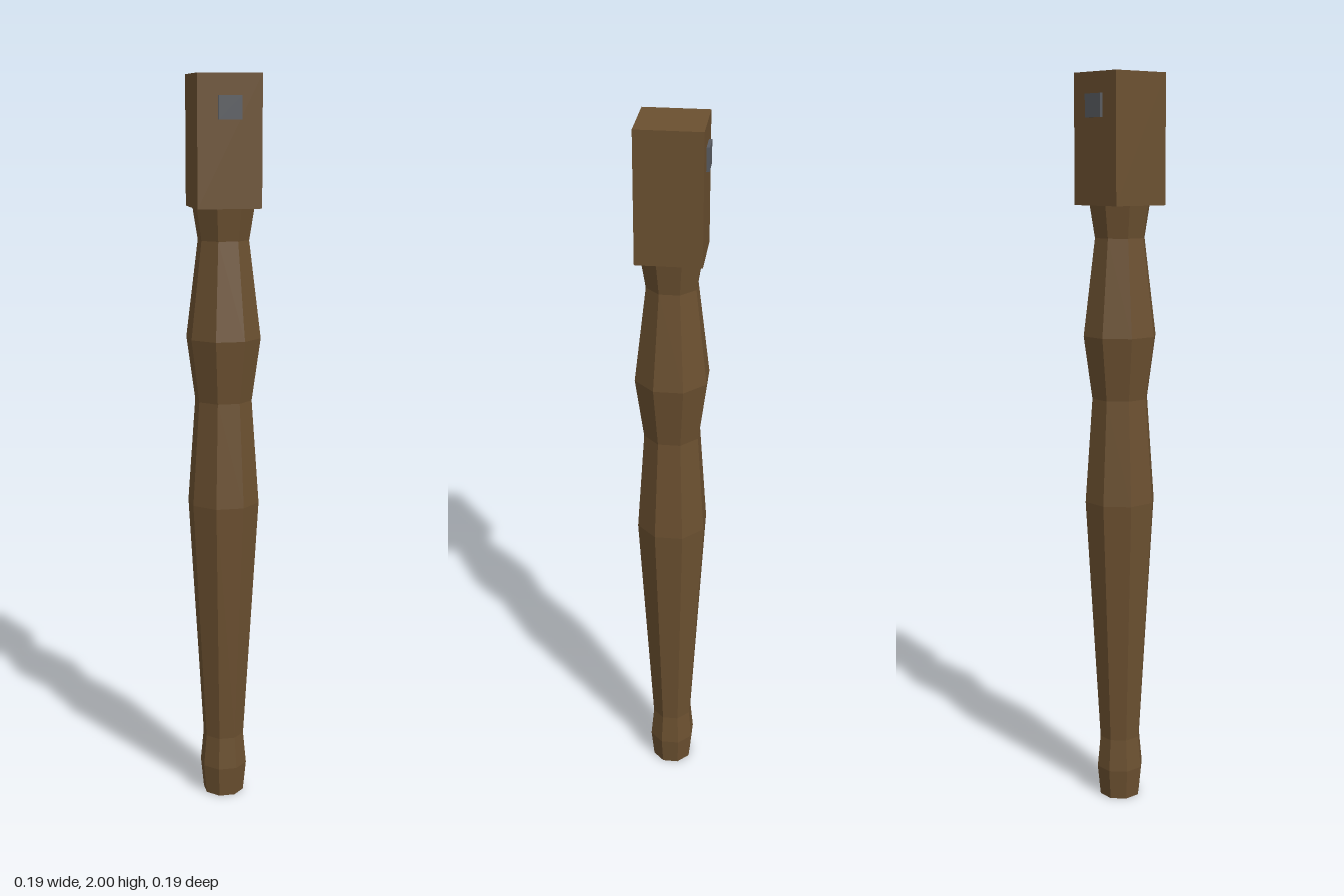
import * as THREE from 'three';

const wood = new THREE.MeshStandardMaterial({ color: 0x6b5030 });
wood.name = 'brown wood';
const metal = new THREE.MeshStandardMaterial({ color: 0x585b60 });
metal.name = 'grey metal';

// Faceted normals for a low-poly part
function faceted(geometry) {
  const flat = geometry.toNonIndexed();
  flat.computeVertexNormals();
  return flat;
}

function addMesh(group, name, geometry, material, y = 0, z = 0) {
  const mesh = new THREE.Mesh(geometry, material);
  mesh.name = name;
  mesh.position.set(0, y, z);
  group.add(mesh);
}

export function createModel() {
  const group = new THREE.Group();
  group.name = 'turnedLeg';

  // Turned eight-sided shaft: [half width across flats, height]
  const profile = [
    [0, 0], [0.053, 0], [0.061, 0.085], [0.053, 0.175], [0.091, 0.86],
    [0.072, 1.145], [0.094, 1.315], [0.064, 1.575], [0.077, 1.66],
  ].map(([w, y]) => new THREE.Vector2(w / Math.cos(Math.PI / 8), y));
  addMesh(group, 'shaft', faceted(new THREE.LatheGeometry(profile, 8, Math.PI / 8)), wood);

  // Square block at the top
  addMesh(group, 'topBlock', new THREE.BoxGeometry(0.17, 0.34, 0.17), wood, 1.83);

  // Square bolt heads on the front and back of the block
  for (const [name, side] of [['frontBolt', 1], ['backBolt', -1]]) {
    addMesh(group, name, new THREE.BoxGeometry(0.062, 0.06, 0.014), metal, 1.915, side * 0.086);
  }
  return group;
}
